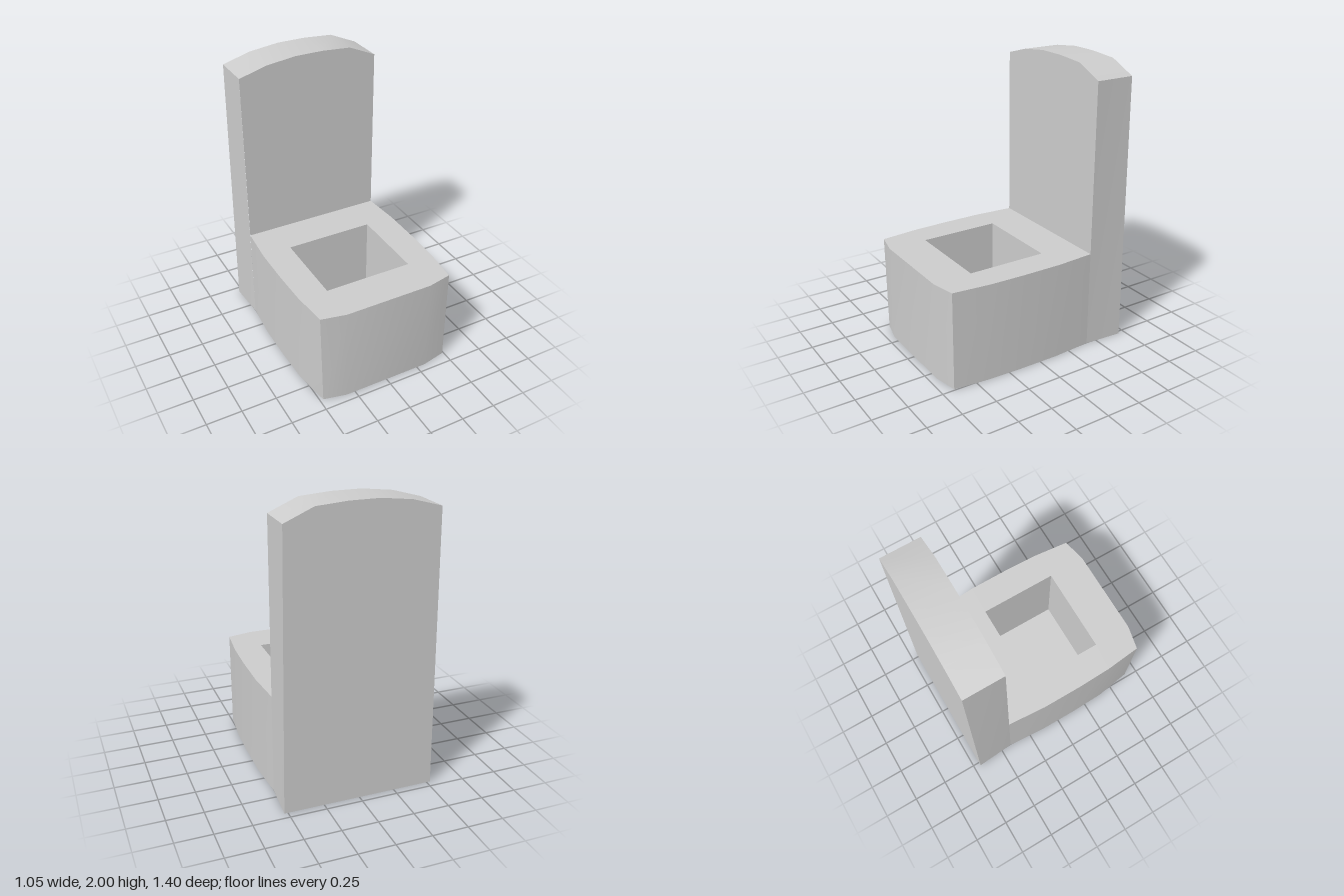
import * as THREE from 'three';
import { toCreasedNormals } from 'three/addons/utils/BufferGeometryUtils.js';

const SEAT_Y = 0.7, REST_Z = -0.42, BACK_Z = -0.7;
const grey = new THREE.MeshStandardMaterial({ color: 0xcccccc });
const greySheet = new THREE.MeshStandardMaterial({ color: 0xcccccc, side: THREE.DoubleSide });

// Wall of quads between two matching rows of [x, y, z] points
function strip(lower, upper) {
  const pos = [];
  for (let i = 0; i < lower.length - 1; i++) {
    pos.push(...lower[i], ...lower[i + 1], ...upper[i + 1]);
    pos.push(...lower[i], ...upper[i + 1], ...upper[i]);
  }
  const geo = new THREE.BufferGeometry();
  geo.setAttribute('position', new THREE.Float32BufferAttribute(pos, 3));
  geo.computeVertexNormals();
  return toCreasedNormals(geo, 0.45);
}

const shapeOf = (pts) => new THREE.Shape(pts.map(([x, y]) => new THREE.Vector2(x, y)));
const atHeight = (plan, y) => plan.map(([x, z]) => [x, y, z]);

export function createModel() {
  const model = new THREE.Group();
  const add = (parent, name, geo, mat = grey) => {
    const mesh = new THREE.Mesh(geo, mat);
    mesh.name = name;
    parent.add(mesh);
    return mesh;
  };

  // Plan of the base, [x, z], from the back left round the front to the back right
  const half = [[0.505, REST_Z], [0.525, -0.14], [0.525, 0.15], [0.517, 0.4], [0.49, 0.66], [0.315, 0.697]];
  const planTop = [...half.map(([x, z]) => [-x, z]), ...[...half].reverse()];
  const planBottom = planTop.map(([x, z]) => [x === -0.49 ? -0.475 : x, z]);
  const well = [[-0.315, -0.145], [0.315, -0.145], [0.315, 0.42], [-0.315, 0.42], [-0.315, -0.145]];

  // Base with a square well
  const base = new THREE.Group();
  base.name = 'base';
  model.add(base);
  add(base, 'baseWall', strip(atHeight(planBottom, 0), atHeight(planTop, SEAT_Y)));
  add(base, 'wellWall', strip(atHeight(well, 0), atHeight(well, SEAT_Y)));

  const seat = shapeOf(planTop.map(([x, z]) => [x, -z]));
  seat.holes.push(shapeOf(well.slice(0, 4).map(([x, z]) => [x, -z])));
  add(base, 'seatTop', new THREE.ShapeGeometry(seat).rotateX(-Math.PI / 2).translate(0, SEAT_Y, 0));

  // Underside, which is also the floor of the well
  const underside = shapeOf([[-0.525, BACK_Z], ...planBottom, [0.525, BACK_Z]]);
  add(base, 'underside', new THREE.ShapeGeometry(underside).rotateX(Math.PI / 2), greySheet);

  // Backrest with an arched crown
  const backrest = new THREE.Group();
  backrest.name = 'backrest';
  model.add(backrest);
  const crown = [[-0.508, 1.92], [-0.31, 1.975], [-0.1, 2], [0.1, 2], [0.31, 1.985], [0.505, 1.9]];
  const crownAt = (z) => crown.map(([x, y]) => [x, y, z]);
  add(backrest, 'crown', strip(crownAt(REST_Z), crownAt(BACK_Z)));

  const front = shapeOf([[-0.505, SEAT_Y], [0.505, SEAT_Y], ...[...crown].reverse()]);
  add(backrest, 'backrestFront', new THREE.ShapeGeometry(front).translate(0, 0, REST_Z));
  const back = shapeOf([[-0.525, 0], [0.525, 0], ...[...crown].reverse()].map(([x, y]) => [-x, y]));
  add(backrest, 'backrestBack', new THREE.ShapeGeometry(back).rotateY(Math.PI).translate(0, 0, BACK_Z));

  // Sides, flaring out towards the lower back corners
  const [lx, ly] = crown[0], [rx, ry] = crown[5];
  add(backrest, 'leftSideWall', strip(
    [[0.505, 0, REST_Z], [0.525, 0, BACK_Z]],
    [[rx, ry, REST_Z], [rx, ry, BACK_Z]]));
  add(backrest, 'rightSideWall', strip(
    [[-0.525, 0, BACK_Z], [-0.505, 0, REST_Z]],
    [[lx, ly, BACK_Z], [lx, ly, REST_Z]]));

  return model;
}
